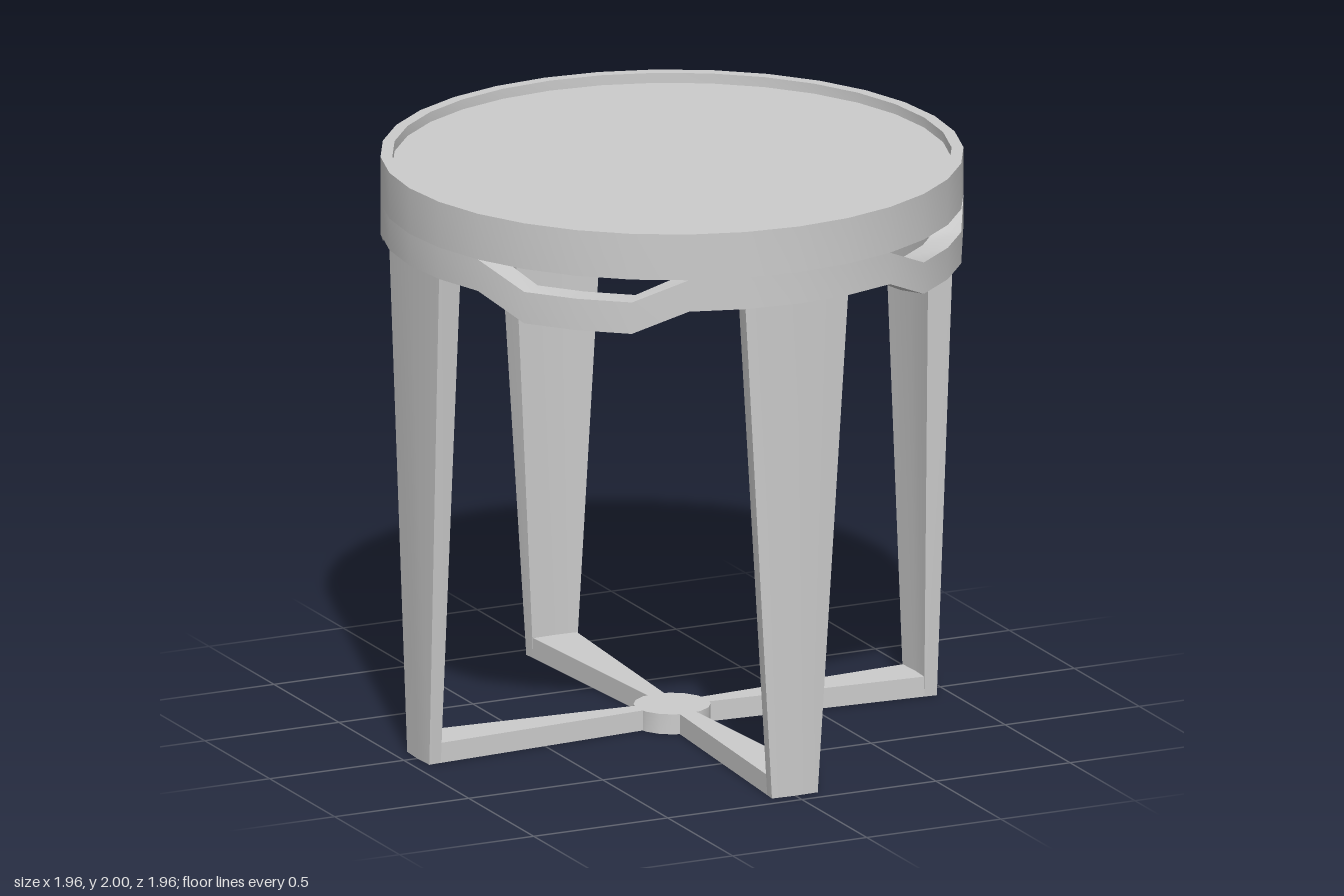
import * as THREE from 'three';
import { toCreasedNormals } from 'three/addons/utils/BufferGeometryUtils.js';

const SEGMENTS = 32;
const STEP = (Math.PI * 2) / SEGMENTS;
const OUTER = 0.98, INNER = 0.89;
const SLOT_TOP = 1.84, APRON_BOTTOM = 1.73, DROP = 0.08;

const material = new THREE.MeshStandardMaterial({ color: 0xcccccc, side: THREE.DoubleSide });

// point on a circle around y; angle 0 faces +z
const polar = (a, r, y) => [Math.sin(a) * r, y, Math.cos(a) * r];

// joins four-cornered sections (outer top, outer bottom, inner bottom, inner top)
function sweep(sections, closed) {
  const pos = [];
  const quad = (a, b, c, d) => pos.push(...a, ...b, ...c, ...a, ...c, ...d);
  const n = sections.length;
  for (let i = 0; i < (closed ? n : n - 1); i++) {
    const p = sections[i], q = sections[(i + 1) % n];
    for (let k = 0; k < 4; k++) {
      const m = (k + 1) % 4;
      quad(p[k], p[m], q[m], q[k]);
    }
  }
  if (!closed) {
    const s = sections[0], e = sections[n - 1];
    quad(s[0], s[3], s[2], s[1]);
    quad(e[0], e[1], e[2], e[3]);
  }
  const g = new THREE.BufferGeometry();
  g.setAttribute('position', new THREE.Float32BufferAttribute(pos, 3));
  return g;
}

function add(parent, name, geometry) {
  const mesh = new THREE.Mesh(toCreasedNormals(geometry, 0.45), material);
  mesh.name = name;
  parent.add(mesh);
  return mesh;
}

export function createModel() {
  const table = new THREE.Group();
  table.name = 'roundSideTable';

  // round top with a thin raised lip
  const profile = [[0, SLOT_TOP], [OUTER, SLOT_TOP], [OUTER, 2], [0.94, 2], [0.94, 1.965], [0, 1.965]]
    .map(([r, y]) => new THREE.Vector2(r, y));
  add(table, 'tableTop', new THREE.LatheGeometry(profile, SEGMENTS));

  // apron band: dips between the legs, leaving a slot under the top
  const apron = [];
  for (let i = 0; i < SEGMENTS; i++) {
    const a = i * STEP;
    const dip = i % 8 >= 3 && i % 8 <= 5 ? DROP : 0;
    const top = SLOT_TOP - dip, bottom = APRON_BOTTOM - dip;
    apron.push([polar(a, OUTER, top), polar(a, OUTER, bottom), polar(a, INNER, bottom), polar(a, INNER, top)]);
  }
  add(table, 'apron', sweep(apron, true));

  // tapered curved leg
  const legGeometry = sweep([-1, 0, 1].map((s) => {
    const aTop = s * STEP, aFoot = s * 0.09;
    return [polar(aTop, OUTER, APRON_BOTTOM), polar(aFoot, 0.95, 0),
      polar(aFoot, 0.905, 0), polar(aTop, INNER, APRON_BOTTOM)];
  }), false);

  // floor stretcher, narrowing towards the hub
  const H = 0.07;
  const stretcherGeometry = sweep([-1, 1].map((s) => [
    [s * 0.082, H, 0.905], [s * 0.082, 0, 0.905], [s * 0.03, 0, 0.11], [s * 0.03, H, 0.11],
  ]), false);

  for (let i = 0; i < 4; i++) {
    const side = new THREE.Group();
    side.name = ['front', 'left', 'back', 'right'][i] + 'Support';
    side.rotation.y = (i * Math.PI) / 2;
    add(side, 'leg', legGeometry);
    add(side, 'stretcher', stretcherGeometry);
    table.add(side);
  }

  // hub where the stretchers meet
  add(table, 'hub', new THREE.CylinderGeometry(0.13, 0.13, H, 16)).position.y = H / 2;

  return table;
}
